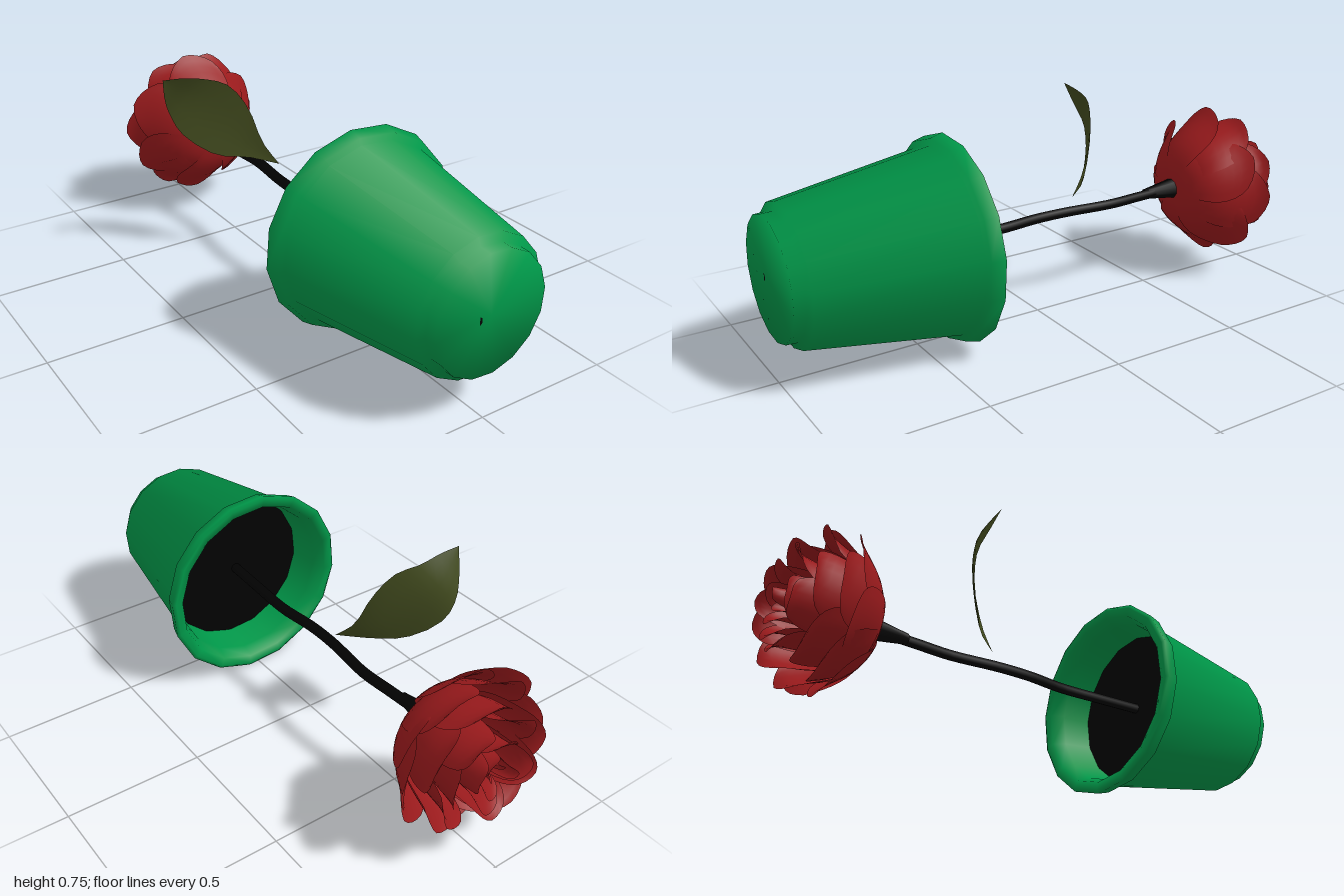
import * as THREE from 'three';

const material = (name, color, side = THREE.FrontSide) => {
  const m = new THREE.MeshStandardMaterial({ color, side });
  m.name = name;
  return m;
};

// Smooth surface from a function of u, v in 0..1
function surface(fn, nu, nv) {
  const pos = [], idx = [];
  for (let j = 0; j <= nv; j++)
    for (let i = 0; i <= nu; i++) pos.push(...fn(i / nu, j / nv).toArray());
  for (let j = 0; j < nv; j++)
    for (let i = 0; i < nu; i++) {
      const a = j * (nu + 1) + i, b = a + 1, c = a + nu + 1, d = c + 1;
      idx.push(a, b, c, b, d, c);
    }
  const g = new THREE.BufferGeometry();
  g.setAttribute('position', new THREE.Float32BufferAttribute(pos, 3));
  g.setIndex(idx);
  g.computeVertexNormals();
  return g;
}

let seed = 11;
const jitter = (amount) => {
  seed = (seed * 16807) % 2147483647;
  return (seed / 2147483647 - 0.5) * 2 * amount;
};

// Petal wrapped round the stem axis, following a bezier of [radius, height]
function petalGeometry(angle, halfWidth, profile, lean) {
  const curve = new THREE.CubicBezierCurve(...profile.map((p) => new THREE.Vector2(...p)));
  return surface((u, v) => {
    const s = u * 2 - 1;
    const p = curve.getPoint(v * (1 - 0.18 * Math.abs(s) ** 1.5));
    const a = angle + s * halfWidth * (1 - 0.4 * v ** 4);
    const r = p.x * (1 + 0.06 * s) + lean * v * v;
    return new THREE.Vector3(r * Math.sin(a), p.y - lean * 0.6 * v * v, r * Math.cos(a));
  }, 8, 10);
}

export function createModel() {
  const model = new THREE.Group();
  const green = material('pot green', 0x009648, THREE.DoubleSide);
  const black = material('stem black', 0x020202);
  const olive = material('leaf olive', 0x414a1e, THREE.DoubleSide);
  const red = material('petal red', 0x991a1c, THREE.DoubleSide);

  // The plant is modelled upright, then laid on its side
  const plant = new THREE.Group();
  plant.name = 'pottedFlower';
  plant.rotation.x = -Math.PI / 2;
  plant.position.y = 0.368;
  model.add(plant);
  const add = (name, geometry, mat, parent = plant) => {
    const mesh = new THREE.Mesh(geometry, mat);
    mesh.name = name;
    parent.add(mesh);
    return mesh;
  };

  // Pot with foot, tapered wall, rim and hollow inside
  const potProfile = [
    [0, -1], [0.212, -1], [0.214, -0.96], [0.243, -0.95], [0.331, -0.405], [0.355, -0.4],
    [0.368, -0.352], [0.355, -0.345], [0.325, -0.35], [0.305, -0.4], [0.285, -0.54],
  ].map((p) => new THREE.Vector2(...p));
  const potGeometry = new THREE.LatheGeometry(potProfile, 16);
  // Soft normals that round the base smoothly into the wall
  const { position, normal } = potGeometry.attributes;
  const n = new THREE.Vector3();
  for (let i = 0; i < position.count; i++) {
    const ring = i % potProfile.length;
    if (ring < 1 || ring > 5) continue;
    n.set(position.getX(i), 0, position.getZ(i)).normalize();
    n.y = -0.7;
    n.normalize();
    normal.setXYZ(i, n.x, n.y, n.z);
  }
  add('pot', potGeometry, green).rotation.y = -0.12;

  const soil = add('soil', new THREE.CircleGeometry(0.293, 16), black);
  soil.rotation.x = -Math.PI / 2;
  soil.position.y = -0.51;

  // Gently waving stem, with its end showing under the pot
  const path = new THREE.CatmullRomCurve3([
    [-0.03, -0.995], [-0.015, -0.7], [0, -0.35], [0.006, -0.16], [-0.011, 0], [-0.01, 0.13],
    [0.008, 0.32], [0, 0.45], [-0.012, 0.64],
  ].map(([x, y]) => new THREE.Vector3(x, y, -0.006)));
  add('stem', new THREE.TubeGeometry(path, 40, 0.019, 8), black);
  const end = add('stemEnd', new THREE.CircleGeometry(0.014, 8, -Math.PI / 2, Math.PI), black);
  end.rotation.x = Math.PI / 2;
  end.scale.x = 0.7;
  end.position.set(-0.045, -1.001, -0.007);
  add('calyx', new THREE.CylinderGeometry(0.04, 0.019, 0.14, 10), black).position.set(-0.011, 0.57, -0.006);

  // Leaf: pairs of edge points [x, height, depth] from base to tip
  const edgeA = [[0, 0.15, 0.05], [-0.03, 0.215, 0.12], [-0.06, 0.27, 0.25], [-0.12, 0.31, 0.335],
    [-0.2, 0.345, 0.362], [-0.28, 0.35, 0.378], [-0.355, 0.355, 0.383]];
  const edgeB = [[0, 0.15, 0.05], [-0.08, 0.25, 0.06], [-0.17, 0.32, 0.065], [-0.265, 0.4, 0.14],
    [-0.305, 0.415, 0.22], [-0.335, 0.39, 0.295], [-0.355, 0.355, 0.383]];
  const curves = [edgeA, edgeB].map((e) => new THREE.CatmullRomCurve3(e.map((p) => new THREE.Vector3(...p))));
  add('leaf', surface((u, v) => {
    const p = curves[0].getPoint(v).lerp(curves[1].getPoint(v), u);
    p.y += 0.01 * Math.sin(u * Math.PI) * Math.sin(v * Math.PI);
    return p;
  }, 4, 14), olive);

  // Rose: rings of broad overlapping petals whose lips curl outwards
  const rose = new THREE.Group();
  rose.name = 'flower';
  plant.add(rose);
  const rings = [
    { count: 6, w: 0.7, p: [[0.02, 0.63], [0.2, 0.62], [0.21, 0.77], [0.295, 0.815]] },
    { count: 6, w: 0.68, p: [[0.02, 0.64], [0.25, 0.63], [0.2, 0.84], [0.285, 0.87]] },
    { count: 5, w: 0.8, p: [[0.02, 0.67], [0.25, 0.68], [0.15, 0.91], [0.235, 0.93]] },
    { count: 5, w: 0.8, p: [[0.02, 0.7], [0.2, 0.7], [0.1, 0.95], [0.185, 0.965]] },
    { count: 4, w: 0.95, p: [[0.02, 0.72], [0.15, 0.74], [0.05, 0.97], [0.125, 0.985]] },
    { count: 3, w: 1.2, p: [[0.01, 0.75], [0.1, 0.78], [0.02, 0.97], [0.07, 0.985]] },
    { count: 2, w: 1.7, p: [[0.01, 0.78], [0.05, 0.8], [0.01, 0.94], [0.03, 0.965]] },
  ];
  rings.forEach(({ count, w, p }, k) => {
    for (let i = 0; i < count; i++) {
      const angle = ((i + k * 0.45) / count) * Math.PI * 2 + jitter(0.14);
      add('petal', petalGeometry(angle, w, p, jitter(0.018)), red, rose);
    }
  });
  return model;
}
